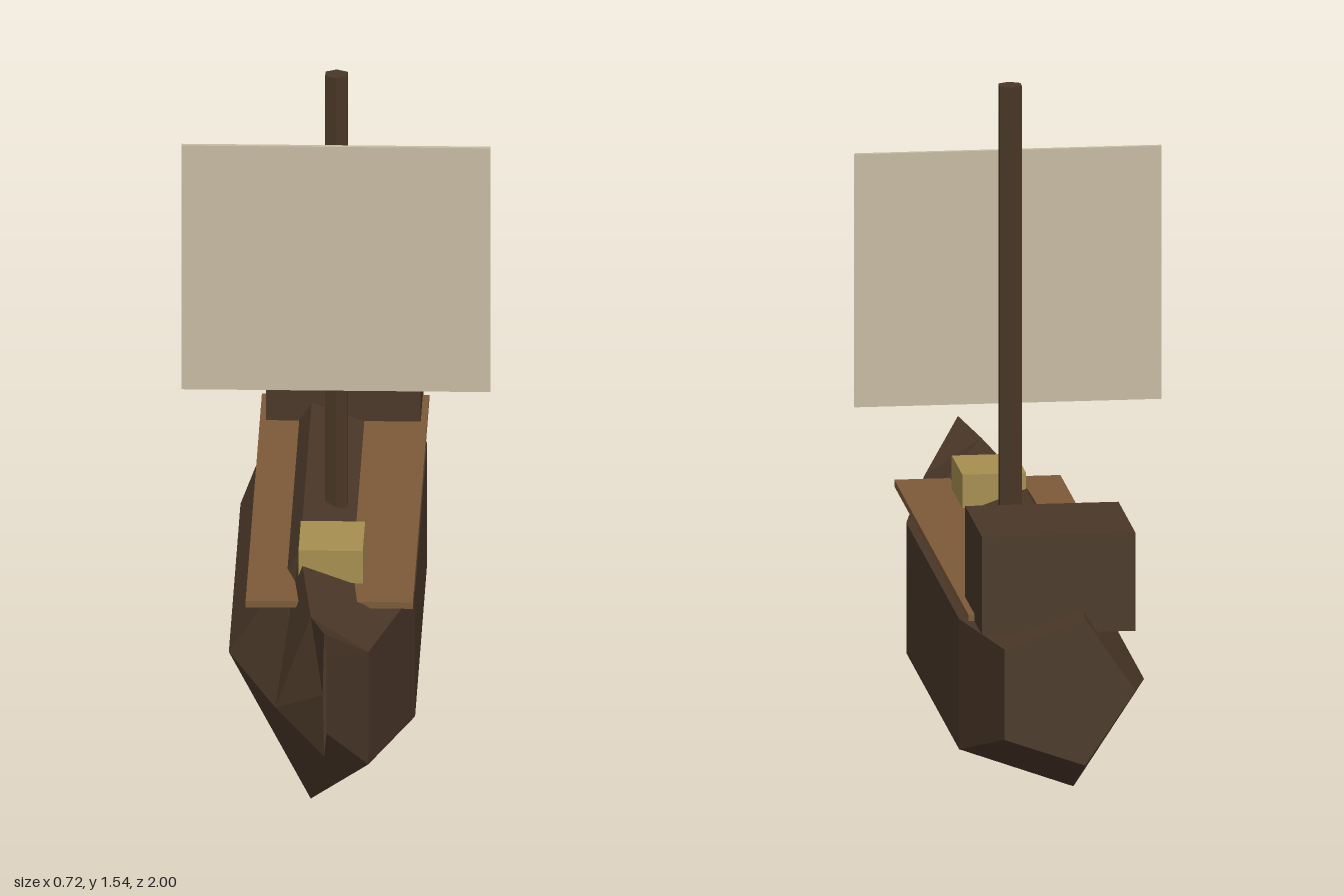
import * as THREE from 'three';

const mat = (name, color) => {
  const m = new THREE.MeshStandardMaterial({ color, flatShading: true });
  m.name = name;
  return m;
};

// Five-sided hull lofted through sections [z, centreY, radiusX, radiusY], stern to bow
function hullGeometry(sections, sides = 5) {
  const rings = sections.map(([z, cy, rx, ry]) =>
    Array.from({ length: sides }, (_, j) => {
      const a = Math.PI + (j * 2 * Math.PI) / sides;
      return [Math.cos(a) * rx, cy + Math.sin(a) * ry, z];
    }));
  const pos = [];
  const tri = (...points) => points.forEach((p) => pos.push(...p));
  for (let i = 0; i < rings.length - 1; i++) {
    for (let j = 0; j < sides; j++) {
      const k = (j + 1) % sides;
      const a = rings[i][j], b = rings[i][k], c = rings[i + 1][k], d = rings[i + 1][j];
      tri(a, b, c);
      tri(a, c, d);
    }
  }
  // Stern and bow caps
  const stern = rings[0], bow = rings[rings.length - 1];
  for (let j = 1; j < sides - 1; j++) {
    tri(stern[0], stern[j + 1], stern[j]);
    tri(bow[0], bow[j], bow[j + 1]);
  }
  const geo = new THREE.BufferGeometry();
  geo.setAttribute('position', new THREE.Float32BufferAttribute(pos, 3));
  geo.computeVertexNormals();
  return geo;
}

export function createModel() {
  const ship = new THREE.Group();
  ship.name = 'sailingShip';

  const darkWood = mat('darkWood', 0x4a3728);
  const deckWood = mat('deckWood', 0x7c5a37);
  const crateWood = mat('crateWood', 0xa68e4f);
  const canvas = mat('canvas', 0xc6baa1);

  const add = (name, geo, material, x = 0, y = 0, z = 0) => {
    const mesh = new THREE.Mesh(geo, material);
    mesh.name = name;
    mesh.position.set(x, y, z);
    ship.add(mesh);
  };
  const box = (w, h, d) => new THREE.BoxGeometry(w, h, d);

  add('hull', hullGeometry([
    [-1, 0.32, 0.17, 0.184],
    [-0.6, 0.255, 0.24, 0.265],
    [0.4, 0.255, 0.24, 0.265],
    [0.84, 0.28, 0.12, 0.237],
    [1, 0.37, 0.005, 0.16],
  ]), darkWood);

  // Deck board, with the hull ridge rising through it
  add('deck', box(0.39, 0.016, 1.4), deckWood, 0, 0.455, -0.08);
  add('cabin', box(0.36, 0.235, 0.32), darkWood, 0, 0.563, -0.76);
  add('crate', box(0.15, 0.08, 0.2), crateWood, 0, 0.505, 0.4);

  // Mast and sail
  add('mast', new THREE.CylinderGeometry(0.03, 0.03, 1.07, 6), darkWood, 0, 1.01, 0);
  add('sail', box(0.72, 0.605, 0.012), canvas, 0, 1.078, 0.04);

  return ship;
}
